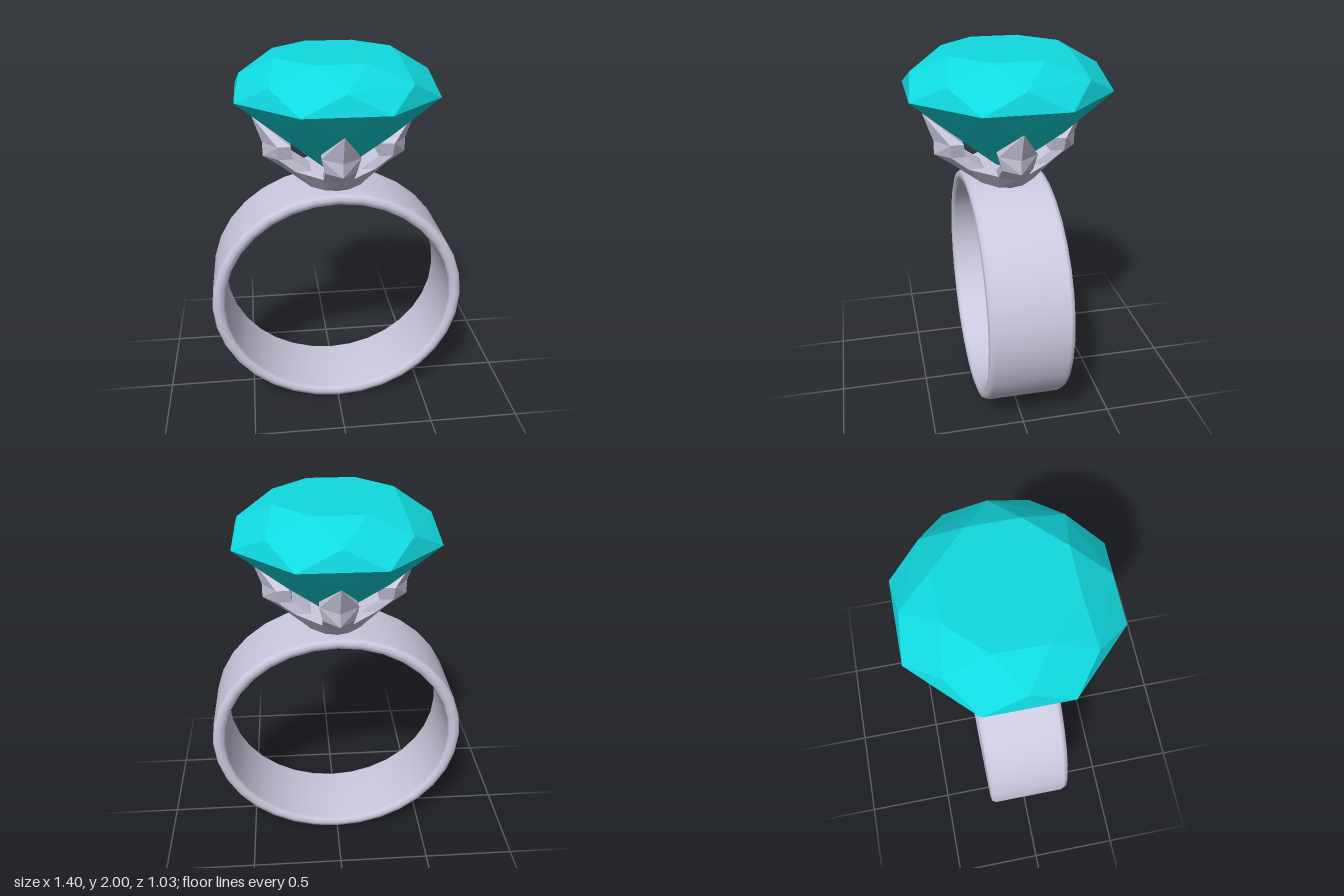
import * as THREE from 'three';
import { ConvexGeometry } from 'three/addons/geometries/ConvexGeometry.js';

const V = (x, y, z) => new THREE.Vector3(x, y, z);

// Eight points around the y axis
function octagon(radius, y, offset) {
  return Array.from({ length: 8 }, (_, i) => {
    const a = offset + (i * Math.PI) / 4;
    return V(radius * Math.cos(a), y, radius * Math.sin(a));
  });
}

export function createModel() {
  const metal = new THREE.MeshStandardMaterial({ color: 0xcccadf });
  metal.name = 'silver metal';
  const jewel = new THREE.MeshStandardMaterial({ color: 0x10dae0 });
  jewel.name = 'turquoise gem';

  const model = new THREE.Group();
  model.name = 'gemRing';
  const add = (name, geometry, material, parent = model) => {
    const mesh = new THREE.Mesh(geometry, material);
    mesh.name = name;
    parent.add(mesh);
    return mesh;
  };

  // Band: softly rounded rectangular section, slightly flattened in height
  const profile = [
    [0.632, 0], [0.632, -0.2], [0.642, -0.218], [0.667, -0.225], [0.692, -0.218], [0.702, -0.195],
    [0.702, 0.195], [0.692, 0.218], [0.667, 0.225], [0.642, 0.218], [0.632, 0.2], [0.632, 0],
  ].map(([r, h]) => new THREE.Vector2(r, h));
  const band = new THREE.LatheGeometry(profile, 32);
  band.rotateX(Math.PI / 2);
  band.scale(1, 0.932, 1);
  band.translate(0, 0.654, 0);
  add('band', band, metal);

  // Cut gem: table, crown stars, girdle, pavilion and culet
  const half = Math.PI / 8;
  const gemPoints = [
    ...octagon(0.336, 2, half),
    ...octagon(0.488, 1.905, 0),
    ...octagon(0.558, 1.805, half),
    ...octagon(0.355, 1.62, 0),
    V(0, 1.335, 0),
  ];
  add('gem', new ConvexGeometry(gemPoints), jewel);

  // Setting base: flared eight-sided cup
  const setting = new THREE.Group();
  setting.name = 'setting';
  model.add(setting);
  const basePoints = [];
  for (const [a, b, y] of [[0.14, 0.06, 1.297], [0.215, 0.08, 1.39]]) {
    for (const sx of [-1, 1]) for (const sz of [-1, 1]) {
      basePoints.push(V(sx * a, y, sz * b), V(sx * b, y, sz * a));
    }
  }
  add('settingBase', new ConvexGeometry(basePoints), metal, setting);

  // Prong section: ridge outside, two shoulders, two inner corners
  const section = (y, ridge, shoulder, inner, w, ridgeY = y) => [
    V(ridge, ridgeY, 0),
    V(shoulder, y, w), V(shoulder, y, -w),
    V(inner, y, w * 0.95), V(inner, y, -w * 0.95),
  ];
  const sections = [
    section(1.3, 0.155, 0.14, 0.06, 0.06, 1.297),
    section(1.39, 0.282, 0.215, 0.13, 0.08),
    section(1.46, 0.385, 0.305, 0.23, 0.08),
    section(1.535, 0.385, 0.31, 0.238, 0.1),
    [V(0.437, 1.685, 0)],
  ];

  // Four prongs
  for (let i = 0; i < 4; i++) {
    const prong = new THREE.Group();
    prong.name = 'prong' + (i + 1);
    prong.rotation.y = (i * Math.PI) / 2;
    setting.add(prong);
    for (let s = 0; s < sections.length - 1; s++) {
      add('prongSegment' + (s + 1), new ConvexGeometry([...sections[s], ...sections[s + 1]]), metal, prong);
    }
  }
  return model;
}
